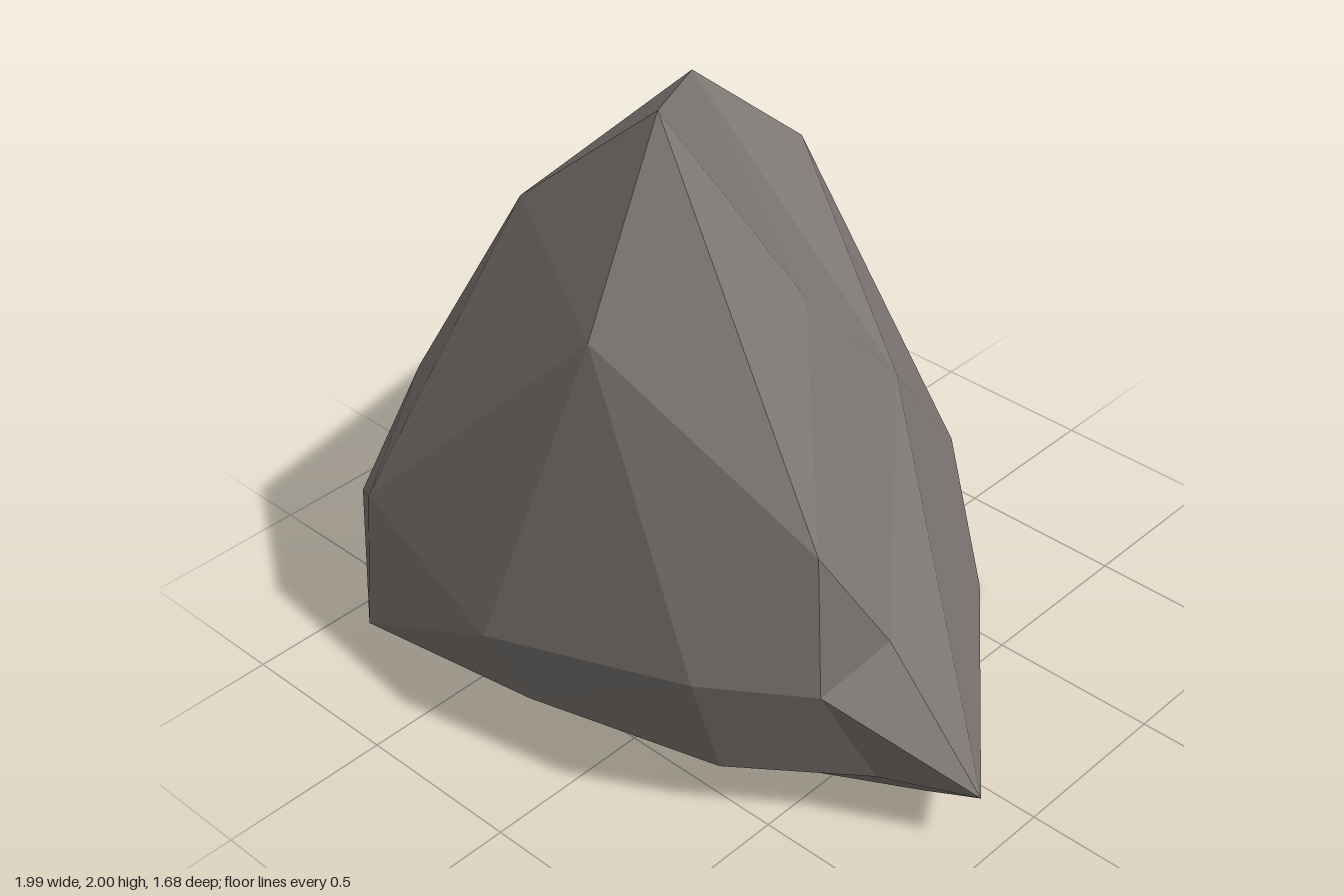
import * as THREE from 'three';
import { ConvexGeometry } from 'three/addons/geometries/ConvexGeometry.js';

// Corner points of the boulder, grouped by height.
const CROWN = [
  [0.14, 2.0, 0.49], [-0.46, 1.62, -0.24], [-0.33, 1.6, 0.51], [0.14, 1.48, 0.74],
  [0.31, 1.41, 0.16], [-0.73, 1.33, -0.45], [-0.4, 1.29, -0.62],
];
const SHOULDERS = [
  [-0.73, 1.1, 0.03], [0.73, 1.06, 0.58], [0.25, 0.94, -0.28], [-0.84, 0.84, 0.47],
  [-0.89, 0.71, 0.2], [0.77, 0.69, 0.35], [0.46, 0.61, 0.74], [-0.73, 0.61, 0.77],
  [0.71, 0.59, 0.54], [-0.84, 0.53, -0.29],
];
const BELT = [
  [-0.2, 0.46, 0.84], [-0.995, 0.4, 0.59], [0.02, 0.32, -0.84], [0.99, 0.22, 0.23],
  [0.74, 0.22, 0.35], [-0.15, 0.21, 0.74], [0.4, 0.2, 0.58], [-0.89, 0.18, 0.6],
  [-0.76, 0.16, 0.79], [-0.2, 0.13, -0.76], [-0.54, 0.1, -0.65],
];
const FOOT = [
  [-0.6, 0.08, 0.59], [-0.62, 0.06, 0.01], [0.76, 0.06, 0.17], [-0.6, 0.02, -0.43],
  [0.4, 0.02, 0.32], [0.29, 0.01, -0.66], [-0.4, 0, 0.05],
];

// Wraps faces around the corners: the hull of the points drawn towards a
// sphere gives the faces, and each face corner then returns to its own place,
// so that hollows remain.
function wrapCorners(corners, centre, pull) {
  const points = corners.map((c) => new THREE.Vector3(...c).sub(centre));
  const drawn = points.map((p) => p.clone().setLength(Math.pow(p.length(), pull)));
  const geometry = new ConvexGeometry(drawn);
  const position = geometry.attributes.position;
  const v = new THREE.Vector3();
  for (let i = 0; i < position.count; i++) {
    v.fromBufferAttribute(position, i);
    let nearest = 0;
    drawn.forEach((d, k) => {
      if (d.distanceToSquared(v) < drawn[nearest].distanceToSquared(v)) nearest = k;
    });
    v.copy(points[nearest]).add(centre);
    position.setXYZ(i, v.x, v.y, v.z);
  }
  geometry.computeVertexNormals();
  return geometry;
}

export function createModel() {
  const group = new THREE.Group();
  group.name = 'rock';

  const stone = new THREE.MeshStandardMaterial({ color: 0x807b77, flatShading: true });
  stone.name = 'stone grey';

  // Faceted boulder
  const corners = [...CROWN, ...SHOULDERS, ...BELT, ...FOOT];
  const boulder = new THREE.Mesh(wrapCorners(corners, new THREE.Vector3(0, 0.7, 0.1), 0.3), stone);
  boulder.name = 'boulder';
  group.add(boulder);
  return group;
}
